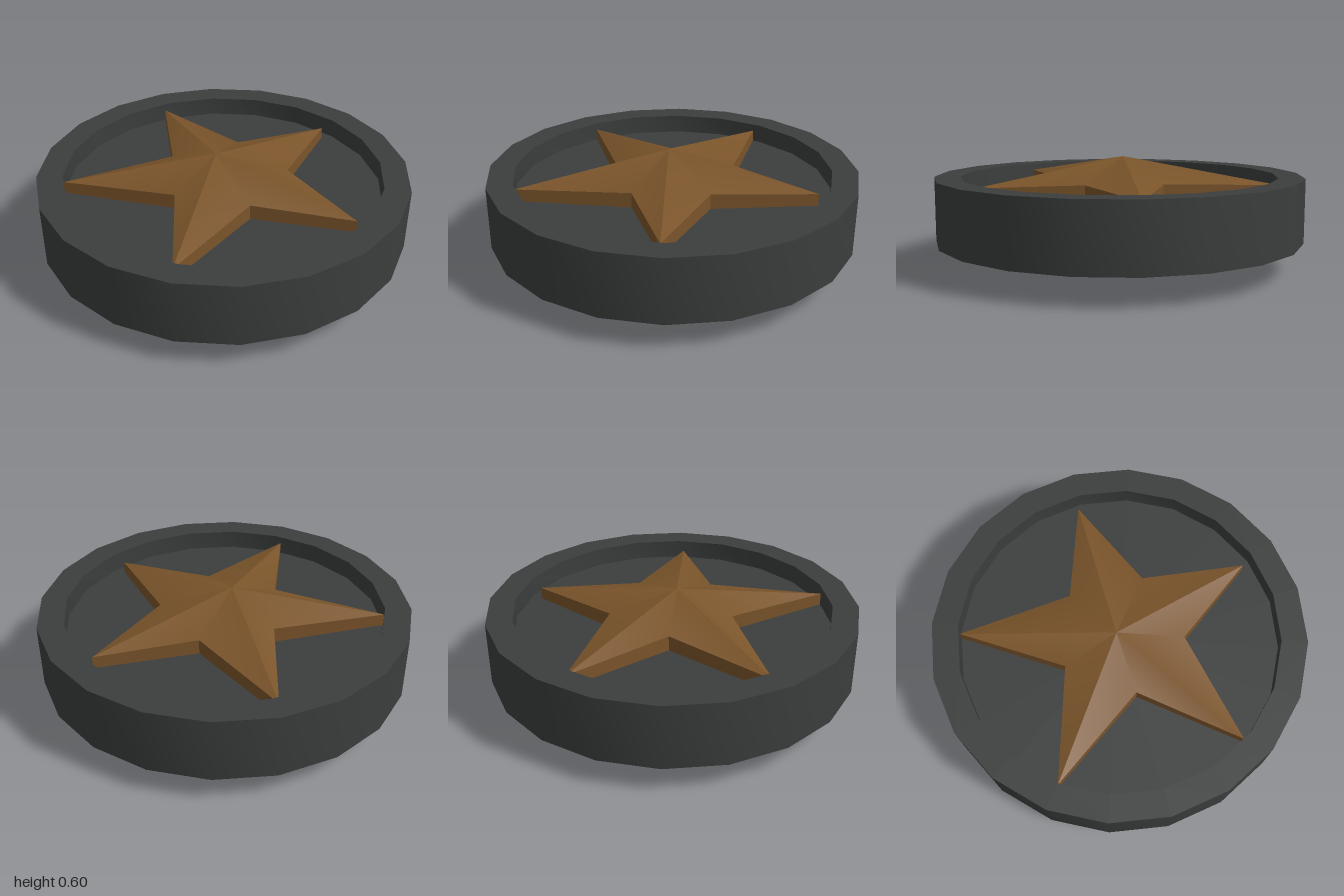
import * as THREE from 'three';
import { toCreasedNormals } from 'three/addons/utils/BufferGeometryUtils.js';

const ringMaterial = new THREE.MeshStandardMaterial({ color: 0x3b3e3d });
const starMaterial = new THREE.MeshStandardMaterial({ color: 0x7a542a });
const CREASE = 0.6;

// Raised star: shallow cap rising to an apex, with walls running to the recessed floor.
// outline: [x, z] points alternating tip / notch, counter-clockwise seen from above.
function starGeometry({ outline, tipY, notchY, apex, floorY, faceDown }) {
  const n = outline.length;
  const positions = [...apex];
  outline.forEach(([x, z], i) => positions.push(x, i % 2 ? notchY : tipY, z));
  outline.forEach(([x, z]) => positions.push(x, floorY, z));

  const index = [];
  const face = (a, b, c) => index.push(a, ...(faceDown ? [c, b] : [b, c]));
  for (let i = 0; i < n; i++) {
    const p = 1 + i, q = 1 + (i + 1) % n;
    face(0, p, q);
    face(p, p + n, q + n);
    face(p, q + n, q);
  }
  const geometry = new THREE.BufferGeometry();
  geometry.setAttribute('position', new THREE.Float32BufferAttribute(positions, 3));
  geometry.setIndex(index);
  return toCreasedNormals(geometry, CREASE);
}

export function createModel() {
  const group = new THREE.Group();
  const add = (name, geometry, material) => {
    const mesh = new THREE.Mesh(geometry, material);
    mesh.name = name;
    group.add(mesh);
  };

  // Twenty-sided disc with a rim and a recess on both faces
  const profile = [
    [0, 0.225], [0.86, 0.225], [0.86, 0.15], [1, 0.15],
    [1, 0.495], [0.86, 0.495], [0.86, 0.39], [0, 0.39],
  ].map(([r, y]) => new THREE.Vector2(r, y));
  add('rimmedDisc', toCreasedNormals(new THREE.LatheGeometry(profile, 20), CREASE), ringMaterial);

  // Upper star, slightly irregular, one tip toward -x; second half is mirrored in z
  const half = [[-0.27, 0.2], [-0.3, 0.8], [0.11, 0.33], [0.63, 0.49]];
  const upper = [
    [-0.86, 0], ...half, [0.35, 0],
    ...half.map(([x, z]) => [x, -z]).reverse(),
  ];
  add('upperStar', starGeometry({
    outline: upper, tipY: 0.456, notchY: 0.472, apex: [-0.04, 0.595, 0], floorY: 0.385,
  }), starMaterial);

  // Lower star, regular, one tip toward +x
  const lower = Array.from({ length: 10 }, (_, i) => {
    const angle = -i * Math.PI / 5, r = i % 2 ? 0.345 : 0.853;
    return [0.005 + r * Math.cos(angle), r * Math.sin(angle)];
  });
  add('lowerStar', starGeometry({
    outline: lower, tipY: 0.153, notchY: 0.132, apex: [0.01, 0, 0], floorY: 0.23, faceDown: true,
  }), starMaterial);

  return group;
}
